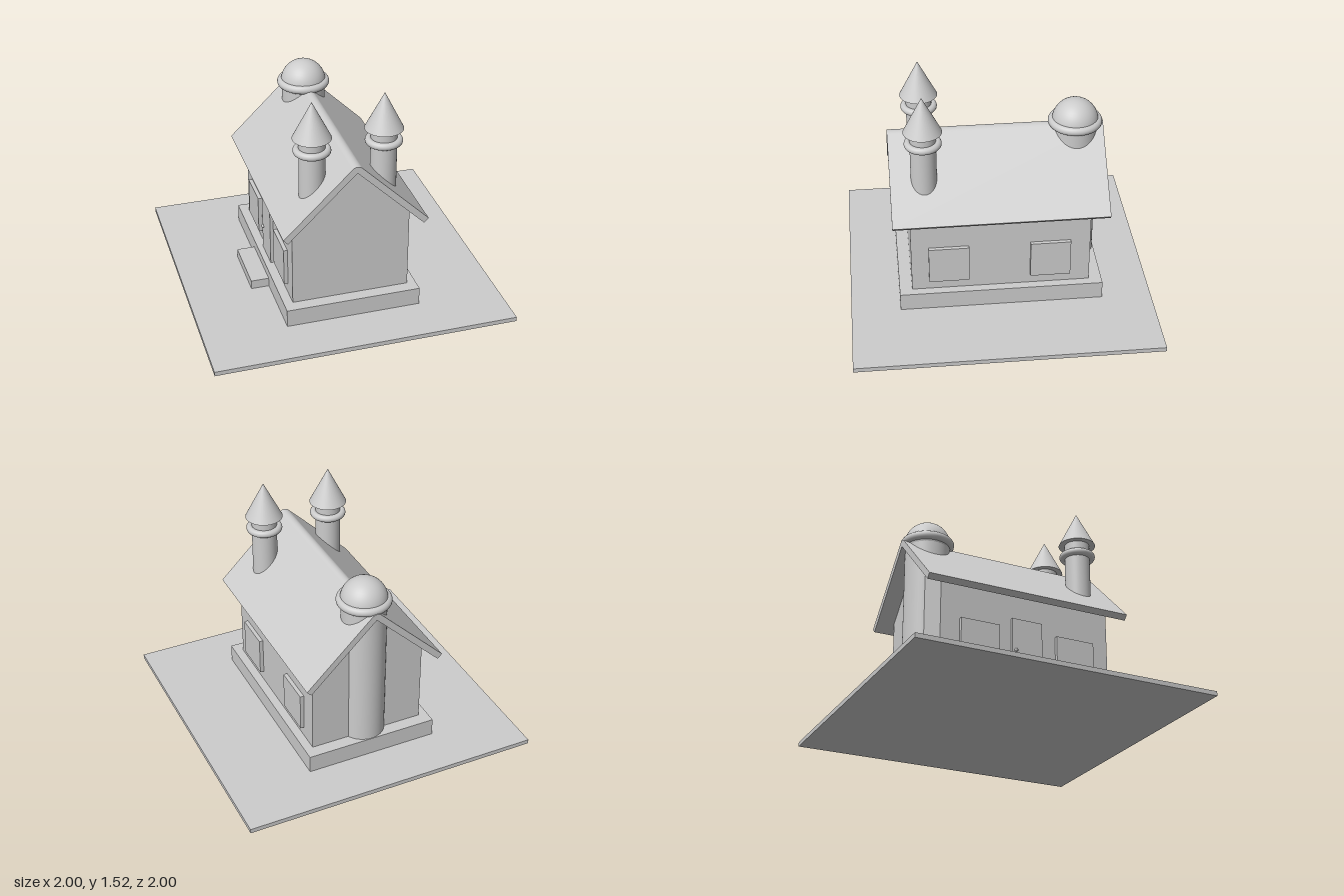
import * as THREE from 'three';

export function createModel() {
  const model = new THREE.Group();
  model.name = 'house';
  const stone = new THREE.MeshStandardMaterial({ color: 0xcccccc });
  stone.name = 'pale grey';

  const add = (name, geometry, x = 0, y = 0, z = 0, parent = model) => {
    const mesh = new THREE.Mesh(geometry, stone);
    mesh.name = name;
    mesh.position.set(x, y, z);
    parent.add(mesh);
    return mesh;
  };
  // Box given by its two extremes on every axis
  const block = (name, x0, x1, y0, y1, z0, z1) =>
    add(name, new THREE.BoxGeometry(x1 - x0, y1 - y0, z1 - z0),
      (x0 + x1) / 2, (y0 + y1) / 2, (z0 + z1) / 2);
  // Profile in x and y, extruded along z
  const prism = (name, shape, z0, z1) =>
    add(name, new THREE.ExtrudeGeometry(shape, { depth: z1 - z0, bevelEnabled: false, curveSegments: 16 }), 0, 0, z0);
  const ring = (name, radius, tube, y, parent) => {
    const geometry = new THREE.TorusGeometry(radius, tube, 16, 48);
    geometry.rotateX(Math.PI / 2);
    return add(name, geometry, 0, y, 0, parent);
  };

  // Ground, plinth and door step
  block('ground', -1, 1, 0, 0.03, -1, 1);
  block('plinth', -0.45, 0.445, 0.03, 0.15, -0.67, 0.675);
  block('doorStep', -0.57, -0.45, 0.03, 0.09, -0.2, 0.2);

  // Walls with gables
  const wall = new THREE.Shape();
  wall.moveTo(-0.39, 0.15);
  wall.lineTo(0.387, 0.15);
  wall.lineTo(0.387, 0.735);
  wall.lineTo(0, 1.112);
  wall.lineTo(-0.39, 0.735);
  wall.closePath();
  prism('walls', wall, -0.585, 0.592);

  // Pitched roof with a rounded ridge
  const pitch = 0.773;
  const roof = new THREE.Shape();
  roof.moveTo(0.445, 0.675);
  roof.lineTo(0.475, 0.705);
  roof.absarc(0, 1.106, 0.045, Math.PI / 2 - pitch, Math.PI / 2 + pitch, false);
  roof.lineTo(-0.475, 0.705);
  roof.lineTo(-0.445, 0.675);
  roof.lineTo(0, 1.109);
  roof.closePath();
  prism('roof', roof, -0.7, 0.705);

  // Two windows on each long side
  for (const [z0, z1] of [[0.213, 0.478], [-0.455, -0.19]]) {
    block('leftWindow', 0.38, 0.413, 0.22, 0.478, z0, z1);
    block('rightWindow', -0.416, -0.38, 0.22, 0.478, z0, z1);
  }

  // Door and knob
  block('door', -0.411, -0.38, 0.15, 0.545, -0.1, 0.11);
  add('doorKnob', new THREE.SphereGeometry(0.012, 16, 12), -0.414, 0.33, -0.075);

  // Pair of front turrets with collars and pointed caps
  for (const x of [-0.227, 0.24]) {
    const turret = new THREE.Group();
    turret.name = 'frontTurret';
    turret.position.set(x, 0, 0.485);
    add('turretShaft', new THREE.CylinderGeometry(0.084, 0.084, 0.58, 40), 0, 0.99, 0, turret);
    ring('turretCollar', 0.096, 0.024, 1.19, turret);
    add('turretCap', new THREE.ConeGeometry(0.124, 0.245, 40), 0, 1.3975, 0, turret);
    model.add(turret);
  }

  // Domed tower at the back
  const tower = new THREE.Group();
  tower.name = 'backTower';
  tower.position.set(0, 0, -0.52);
  add('towerShaft', new THREE.CylinderGeometry(0.146, 0.146, 1.01, 48), 0, 0.655, 0, tower);
  ring('towerCollar', 0.148, 0.029, 1.157, tower);
  add('towerDome', new THREE.SphereGeometry(0.152, 40, 24), 0, 1.158, 0, tower);
  model.add(tower);

  return model;
}
